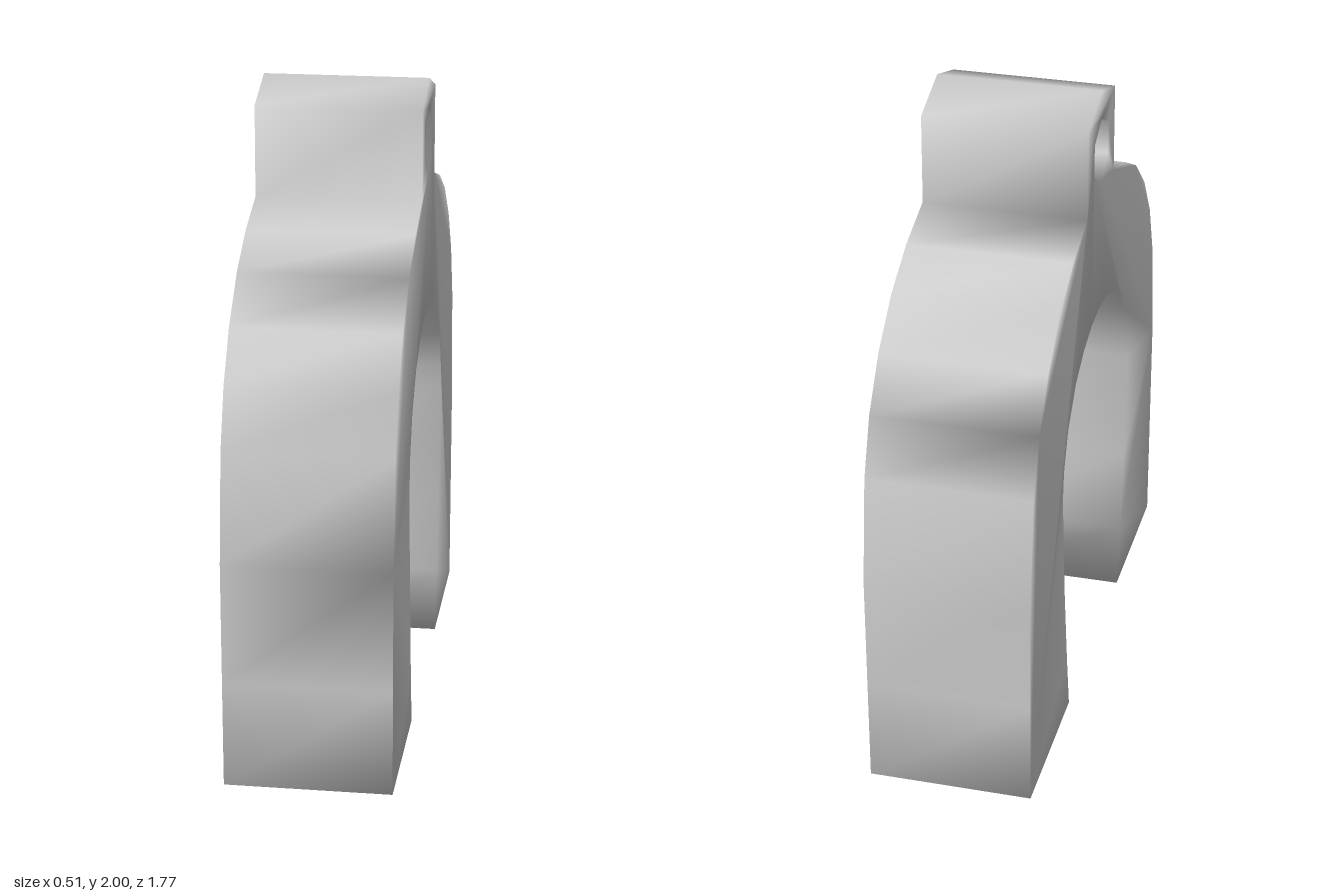
import * as THREE from 'three';
import { mergeVertices } from 'three/addons/utils/BufferGeometryUtils.js';

const WIDTH = 0.514;

// Half outlines as [distance from the centre plane, height]
const outer = [
  [0.875, 0], [0.88, 0.34], [0.885, 0.72], [0.845, 1.06], [0.78, 1.24], [0.675, 1.39],
  [0.53, 1.515], [0.365, 1.6], [0.183, 1.655], [0.183, 1.94], [0, 2],
];
const inner = [
  [0.36, 0], [0.395, 0.2], [0.435, 0.47], [0.457, 0.66], [0.47, 0.84], [0.46, 0.93],
  [0.41, 1.05], [0.31, 1.16], [0.2, 1.22], [0.1, 1.25], [0, 1.26],
];
const holeHalf = [[0, 1.7], [0.093, 1.755], [0.093, 1.86], [0, 1.91]];

const toVectors = (points) => points.map(([x, y]) => new THREE.Vector2(x, y));
const mirror = (points) => points.map(([x, y]) => [-x, y]);

export function createModel() {
  const group = new THREE.Group();
  group.name = 'horseshoePendant';

  // Horseshoe arch and hanging loop in one closed outline
  const outline = [
    ...outer,
    ...mirror(outer).reverse().slice(1),
    ...mirror(inner),
    ...[...inner].reverse().slice(1),
  ];
  const shape = new THREE.Shape(toVectors(outline));

  // Hexagonal cord hole through the loop
  const hole = [...holeHalf, ...mirror(holeHalf).reverse().slice(1, -1)];
  shape.holes.push(new THREE.Path(toVectors(hole)));

  // Extrude across the width, then share vertices for soft shading over all edges
  let geometry = new THREE.ExtrudeGeometry(shape, { depth: WIDTH, bevelEnabled: false });
  geometry.translate(0, 0, -WIDTH / 2);
  geometry.rotateY(Math.PI / 2);
  geometry.deleteAttribute('uv');
  geometry.deleteAttribute('normal');
  geometry = mergeVertices(geometry, 1e-4);
  geometry.computeVertexNormals();

  const arch = new THREE.Mesh(geometry, new THREE.MeshStandardMaterial({ color: 0xcccccc }));
  arch.name = 'archWithLoop';
  group.add(arch);
  return group;
}
